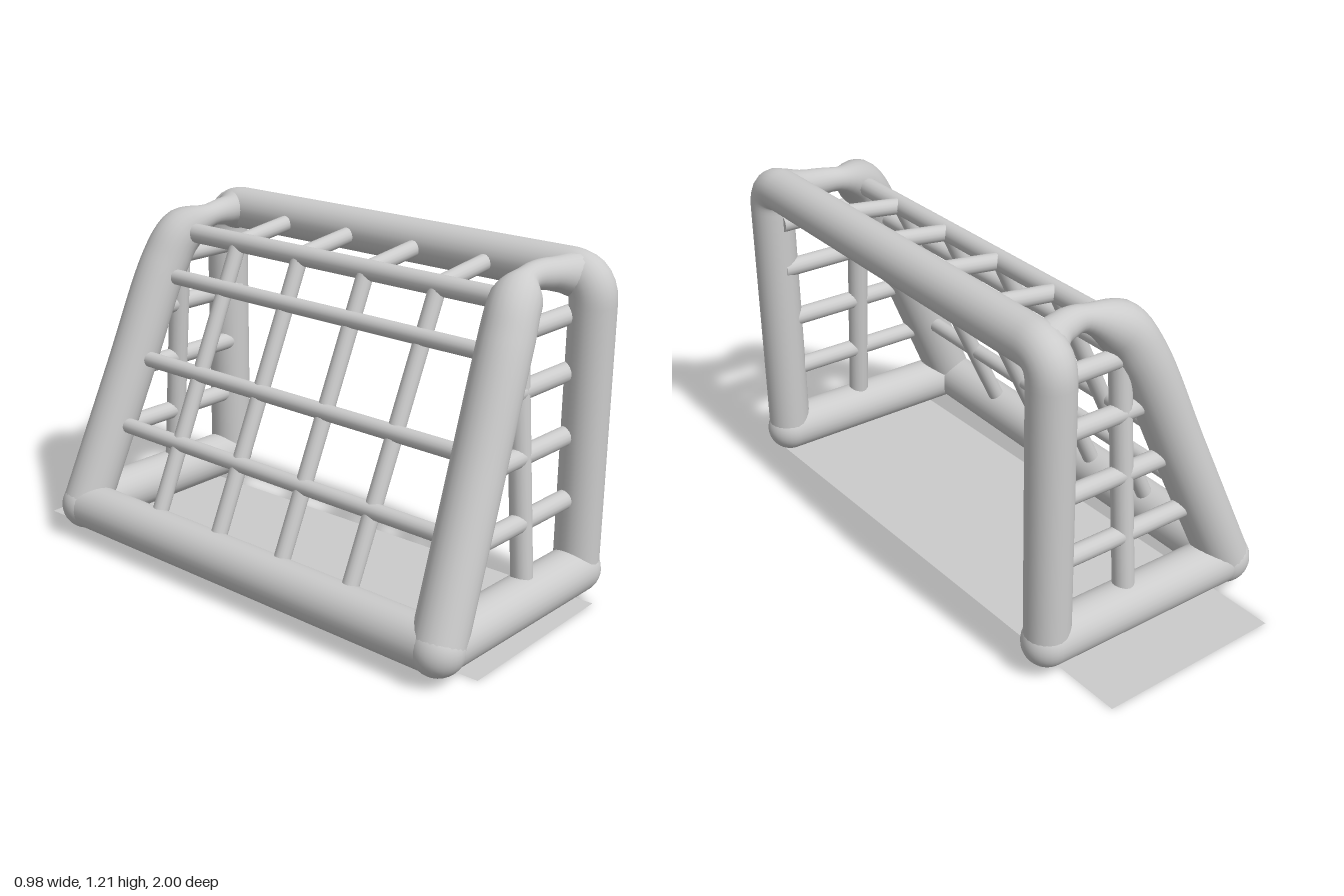
import * as THREE from 'three';

const V = (x, y, z) => new THREE.Vector3(x, y, z);
const material = new THREE.MeshStandardMaterial({ color: 0xcccccc });

function add(parent, name, geometry, mat = material) {
  const mesh = new THREE.Mesh(geometry, mat);
  mesh.name = name;
  parent.add(mesh);
  return mesh;
}

// Straight round bar between two points
function bar(parent, name, a, b, r, sides = 16) {
  const dir = b.clone().sub(a);
  const mesh = add(parent, name, new THREE.CylinderGeometry(r, r, dir.length(), sides, 1));
  mesh.position.copy(a).add(b).multiplyScalar(0.5);
  mesh.quaternion.setFromUnitVectors(V(0, 1, 0), dir.normalize());
}

function joint(parent, name, p, r) {
  add(parent, name, new THREE.SphereGeometry(r, 28, 18)).position.copy(p);
}

// Curved tube whose thickness follows a list of radii along its length
function taperedTube(parent, name, points, radii) {
  const curve = new THREE.CatmullRomCurve3(points, false, 'centripetal');
  const rings = 64, sides = 24;
  const geo = new THREE.TubeGeometry(curve, rings, 1, sides);
  const pos = geo.attributes.position;
  const v = new THREE.Vector3();
  for (let i = 0; i <= rings; i++) {
    const u = i / rings, centre = curve.getPointAt(u);
    const k = curve.getUtoTmapping(u) * (radii.length - 1);
    const n = Math.min(Math.floor(k), radii.length - 2);
    const r = THREE.MathUtils.lerp(radii[n], radii[n + 1], THREE.MathUtils.smoothstep(k - n, 0, 1));
    for (let j = 0; j <= sides; j++) {
      const id = i * (sides + 1) + j;
      v.fromBufferAttribute(pos, id).sub(centre).multiplyScalar(r).add(centre);
      pos.setXYZ(id, v.x, v.y, v.z);
    }
  }
  add(parent, name, geo);
}

const R = 0.085;        // main frame thickness
const HALF = 0.82;      // half width of the frame
const FRONT = 0.385;    // x of the goal mouth
const BASE = 0.115;     // height of the floor rails
const FOLD = V(0.07, 1.09, 0);
// Point on the sloping back plane at height y
const slopeX = y => -0.375 + (y - BASE) * 0.43;
// The sides lean slightly inward with height
const sideZ = y => HALF - 0.07 * (y - BASE);

export function createModel() {
  const model = new THREE.Group();
  model.name = 'goal';

  const goal = new THREE.Group();
  goal.name = 'goalFrame';
  goal.position.z = 0.08;
  goal.rotation.y = -0.027;
  model.add(goal);

  // Mouth: two posts and crossbar with rounded upper corners
  const c = 0.09, top = 1.128;
  const mouth = new THREE.CurvePath();
  const p = (y, z) => V(FRONT, y, z);
  mouth.add(new THREE.LineCurve3(p(BASE, HALF), p(top - c, HALF)));
  mouth.add(new THREE.QuadraticBezierCurve3(p(top - c, HALF), p(top, HALF), p(top, HALF - c)));
  mouth.add(new THREE.LineCurve3(p(top, HALF - c), p(top, c - HALF)));
  mouth.add(new THREE.QuadraticBezierCurve3(p(top, c - HALF), p(top, -HALF), p(top - c, -HALF)));
  mouth.add(new THREE.LineCurve3(p(top - c, -HALF), p(BASE, -HALF)));
  add(goal, 'postsAndCrossbar', new THREE.TubeGeometry(mouth, 200, 0.077, 24));

  // Rear floor rail
  bar(goal, 'rearFloorRail', V(-0.375, BASE, -HALF), V(-0.375, BASE, HALF), R, 28);

  for (const s of [1, -1]) {
    const side = new THREE.Group();
    side.name = s > 0 ? 'leftSide' : 'rightSide';
    goal.add(side);

    // Floor rail with rounded ends
    bar(side, 'sideFloorRail', V(-0.375, BASE, s * HALF), V(FRONT, BASE, s * HALF), R, 28);
    joint(side, 'rearCorner', V(-0.375, BASE, s * HALF), 0.09);
    joint(side, 'frontCorner', V(FRONT, BASE, s * HALF), R);

    // Sloping strut that bends into a thin, inset top link
    taperedTube(side, 'slopingStrut', [
      V(-0.375, BASE, s * HALF),
      V(slopeX(0.6), 0.6, s * sideZ(0.6)),
      V(slopeX(0.98), 0.98, s * sideZ(0.98)),
      V(0.065, 1.085, s * 0.74),
      V(0.18, 1.135, s * 0.705),
      V(0.28, 1.135, s * 0.72),
      V(FRONT, 1.12, s * 0.77),
    ], [0.088, 0.088, 0.088, 0.085, 0.043, 0.052, 0.077]);

    // Side net
    bar(side, 'sideNetUpright', V(0.07, BASE, s * HALF), V(0.07, 1.09, s * 0.745), 0.037);
    for (const y of [0.38, 0.597, 0.81, 0.995]) {
      bar(side, 'sideNetRung', V(slopeX(y), y, s * sideZ(y)), V(FRONT, y, s * sideZ(y)), 0.033);
    }
  }

  // Back and roof net: strands running up the slope, then forward
  for (const z of [-0.445, -0.148, 0.148, 0.445]) {
    const fold = V(FOLD.x, FOLD.y, z);
    bar(goal, 'backNetStrand', V(-0.375, BASE, z), fold, 0.029);
    bar(goal, 'roofNetStrand', fold, V(FRONT, top, z), 0.029);
  }

  // Back net: level strands
  for (const y of [0.415, 0.65, 0.94]) {
    const x = slopeX(y), z = sideZ(y);
    bar(goal, 'backNetRung', V(x, y, -z), V(x, y, z), 0.028);
  }
  bar(goal, 'roofFoldBar', V(FOLD.x, FOLD.y, -0.74), V(FOLD.x, FOLD.y, 0.74), 0.035);

  // Thin floor sheet
  const sheetMaterial = material.clone();
  sheetMaterial.side = THREE.DoubleSide;
  const sheet = add(model, 'floorSheet', new THREE.PlaneGeometry(0.68, 1.98), sheetMaterial);
  sheet.rotation.x = -Math.PI / 2;
  sheet.position.set(0.03, 0, -0.01);

  return model;
}
